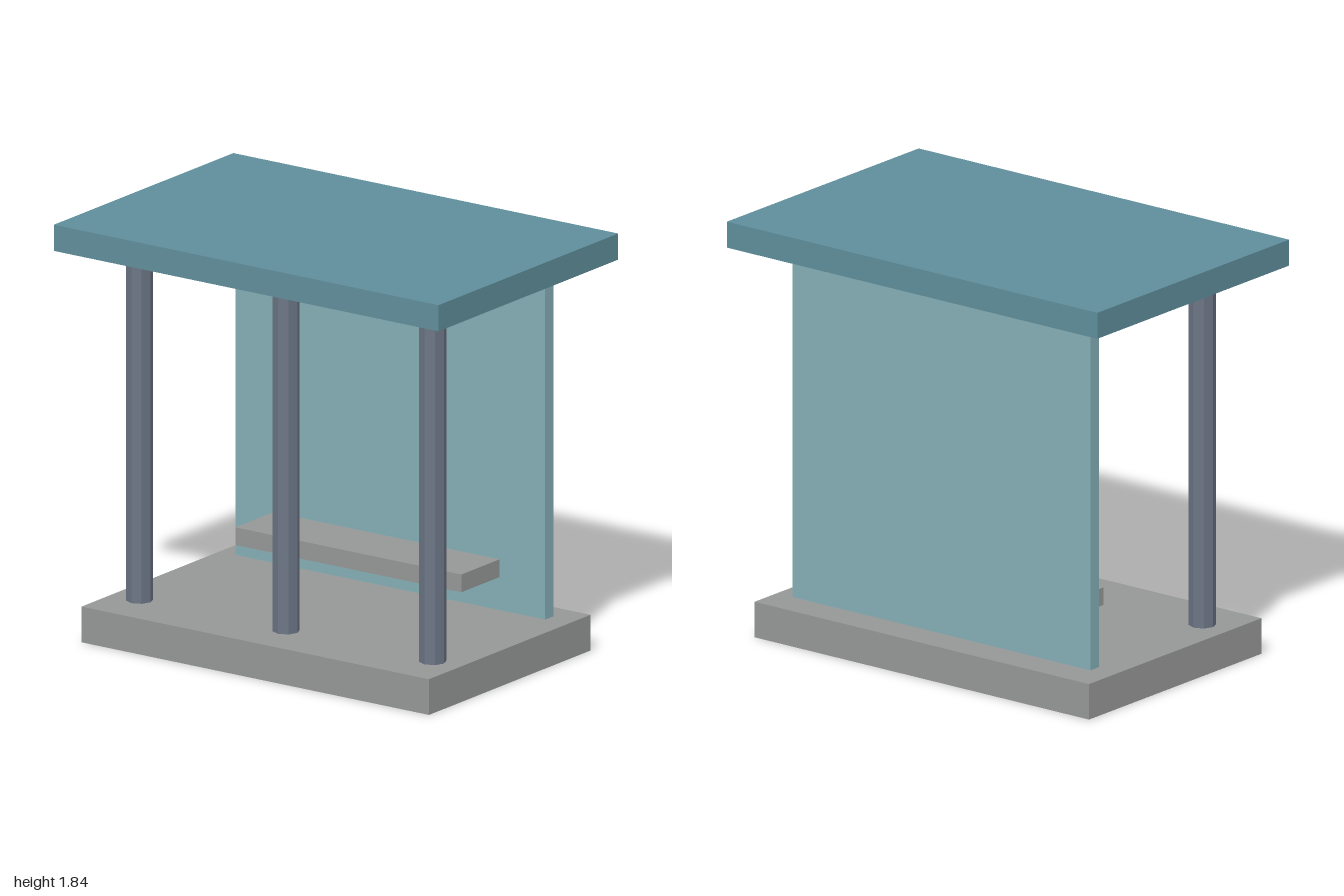
import * as THREE from 'three';

const material = (name, color) => {
  const m = new THREE.MeshStandardMaterial({ color });
  m.name = name;
  return m;
};

export function createModel() {
  const shelter = new THREE.Group();
  shelter.name = 'shelter';

  const concrete = material('concrete grey', 0x959796);
  const roofBlue = material('roof blue', 0x5f8e9b);
  const panelBlue = material('panel pale teal', 0x84aeb5);
  const steel = material('post slate', 0x6b7484);
  steel.flatShading = true;

  // Box given by its size, bottom height and z centre
  const slab = (name, mat, w, h, d, bottom, z) => {
    const mesh = new THREE.Mesh(new THREE.BoxGeometry(w, h, d), mat);
    mesh.name = name;
    mesh.position.set(0, bottom + h / 2, z);
    shelter.add(mesh);
  };

  slab('base', concrete, 1.806, 0.157, 1.16, 0, 0);
  slab('roof', roofBlue, 2, 0.115, 1.29, 1.72, 0);
  slab('backPanel', panelBlue, 1.61, 1.55, 0.058, 0.165, -0.419);
  slab('benchSeat', concrete, 1.174, 0.078, 0.274, 0.32, -0.226);

  // Three octagonal posts along the front
  const postGeometry = new THREE.CylinderGeometry(0.058, 0.058, 1.564, 8);
  ['rightPost', 'middlePost', 'leftPost'].forEach((name, i) => {
    const post = new THREE.Mesh(postGeometry, steel);
    post.name = name;
    post.position.set((i - 1) * 0.762, 0.157 + 0.782, 0.358);
    shelter.add(post);
  });

  return shelter;
}
